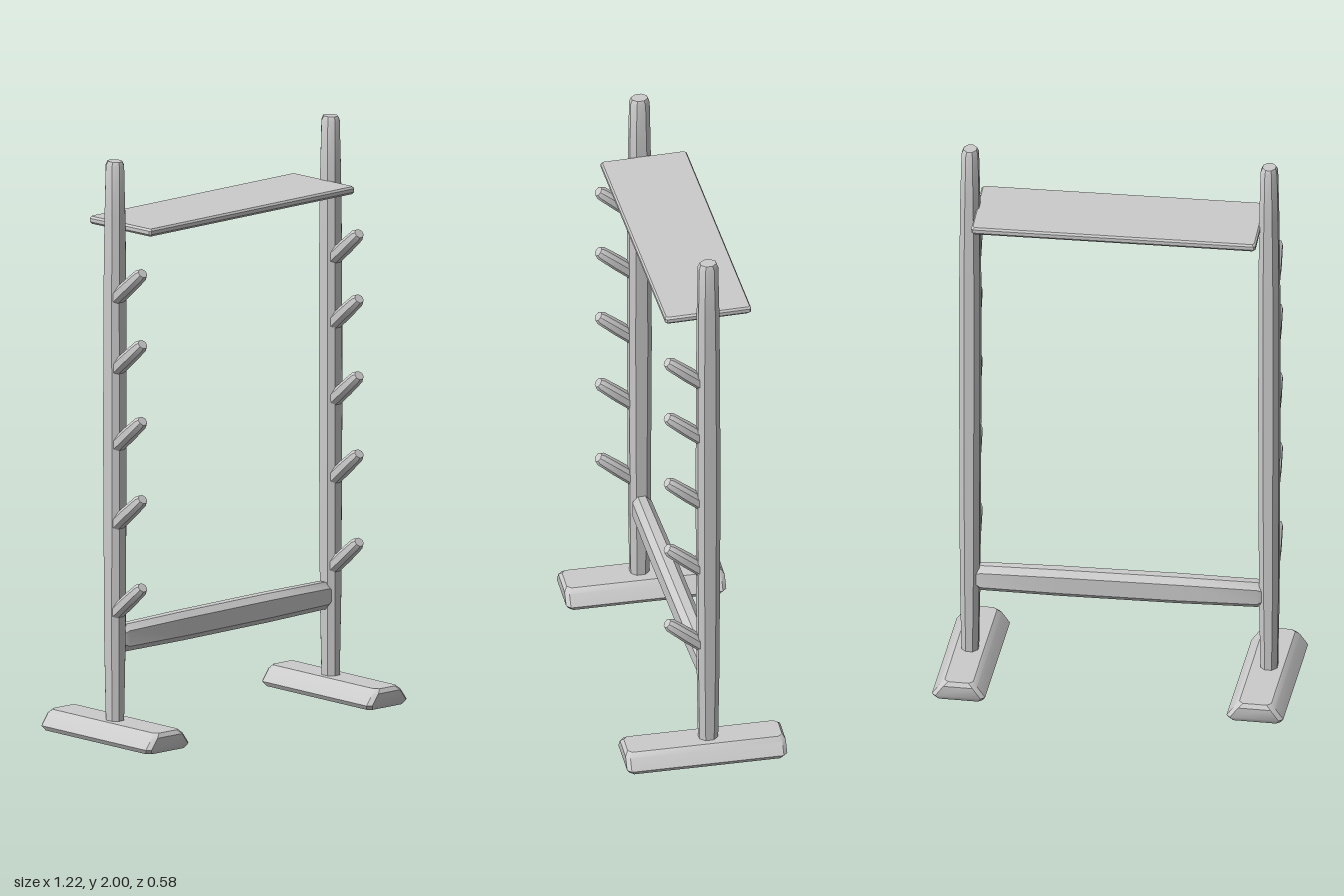
import * as THREE from 'three';
import { toCreasedNormals } from 'three/addons/utils/BufferGeometryUtils.js';

const material = new THREE.MeshStandardMaterial({ color: 0xcccccc, roughness: 0.8 });

// Capped loft along y; every section [y, width, depth] is a rectangle with cut corners
function loft(sections, cut) {
  const rings = sections.map(([y, w, d]) => {
    const a = w / 2, b = d / 2, ca = Math.min(cut, a * 0.6), cb = Math.min(cut, b * 0.6);
    return [[a, -b + cb], [a, b - cb], [a - ca, b], [-a + ca, b],
      [-a, b - cb], [-a, -b + cb], [-a + ca, -b], [a - ca, -b]].map(([x, z]) => [x, y, z]);
  });
  const last = rings.length - 1;
  const low = [0, sections[0][0], 0], high = [0, sections[last][0], 0];
  const pos = [];
  for (let i = 0; i < 8; i++) {
    const j = (i + 1) % 8;
    for (let k = 0; k < last; k++) {
      const r = rings[k], s = rings[k + 1];
      pos.push(...r[i], ...s[i], ...r[j], ...r[j], ...s[i], ...s[j]);
    }
    pos.push(...low, ...rings[0][i], ...rings[0][j]);
    pos.push(...high, ...rings[last][j], ...rings[last][i]);
  }
  const g = new THREE.BufferGeometry();
  g.setAttribute('position', new THREE.Float32BufferAttribute(pos, 3));
  return toCreasedNormals(g, 0.6);
}

export function createModel() {
  const model = new THREE.Group();
  model.name = 'weaponRack';

  const add = (name, geometry, x, y, z) => {
    const mesh = new THREE.Mesh(geometry, material);
    mesh.name = name;
    mesh.position.set(x, y, z);
    model.add(mesh);
    return mesh;
  };

  // Uprights, worn thinner towards both ends
  const post = loft([[0.04, 0.056, 0.064], [0.35, 0.066, 0.072], [1, 0.07, 0.078],
    [1.5, 0.07, 0.076], [1.8, 0.064, 0.072], [1.985, 0.056, 0.066], [2, 0.044, 0.054]], 0.018);

  // Tapered hanging peg; origin at the tip
  const peg = loft([[-0.18, 0.048, 0.046], [-0.09, 0.05, 0.046],
    [-0.012, 0.044, 0.042], [0, 0.034, 0.032]], 0.012);

  for (const side of [1, -1]) {
    const label = side > 0 ? 'left' : 'right';
    add(label + 'Post', post, side * 0.508, 0, -0.006);

    // Sloped foot, set slightly askew
    const w = side > 0 ? 0.182 : 0.194;
    const foot = loft([[0.004, w - 0.02, 0.53], [0.02, w, 0.55],
      [0.058, w - 0.055, 0.55], [0.072, w - 0.085, 0.53]], 0.014);
    add(label + 'Foot', foot, side > 0 ? 0.508 : -0.502, 0, side * 0.012).rotation.y = -0.036;

    // Pegs slanting up to the front
    const tops = [0.55, 0.855, 1.125, 1.39, side > 0 ? 1.615 : 1.635];
    tops.forEach((y, i) => {
      add(label + 'Peg' + (i + 1), peg, side > 0 ? 0.505 : -0.515, y, 0.135).rotation.x = 0.87;
    });
  }

  // Lower cross beam, a little thicker in the middle
  const beam = loft([[-0.485, 0.08, 0.056], [-0.47, 0.094, 0.066], [-0.2, 0.1, 0.07],
    [0.2, 0.1, 0.07], [0.47, 0.094, 0.066], [0.485, 0.08, 0.056]], 0.02);
  beam.rotateZ(Math.PI / 2);
  add('crossBeam', beam, 0, 0.35, -0.006);

  // Thin top shelf with softened edges
  const shelf = loft([[-0.013, 0.955, 0.288], [-0.006, 0.966, 0.298],
    [0.006, 0.966, 0.298], [0.013, 0.955, 0.288]], 0.006);
  add('topShelf', shelf, 0.003, 1.768, -0.013);

  return model;
}
